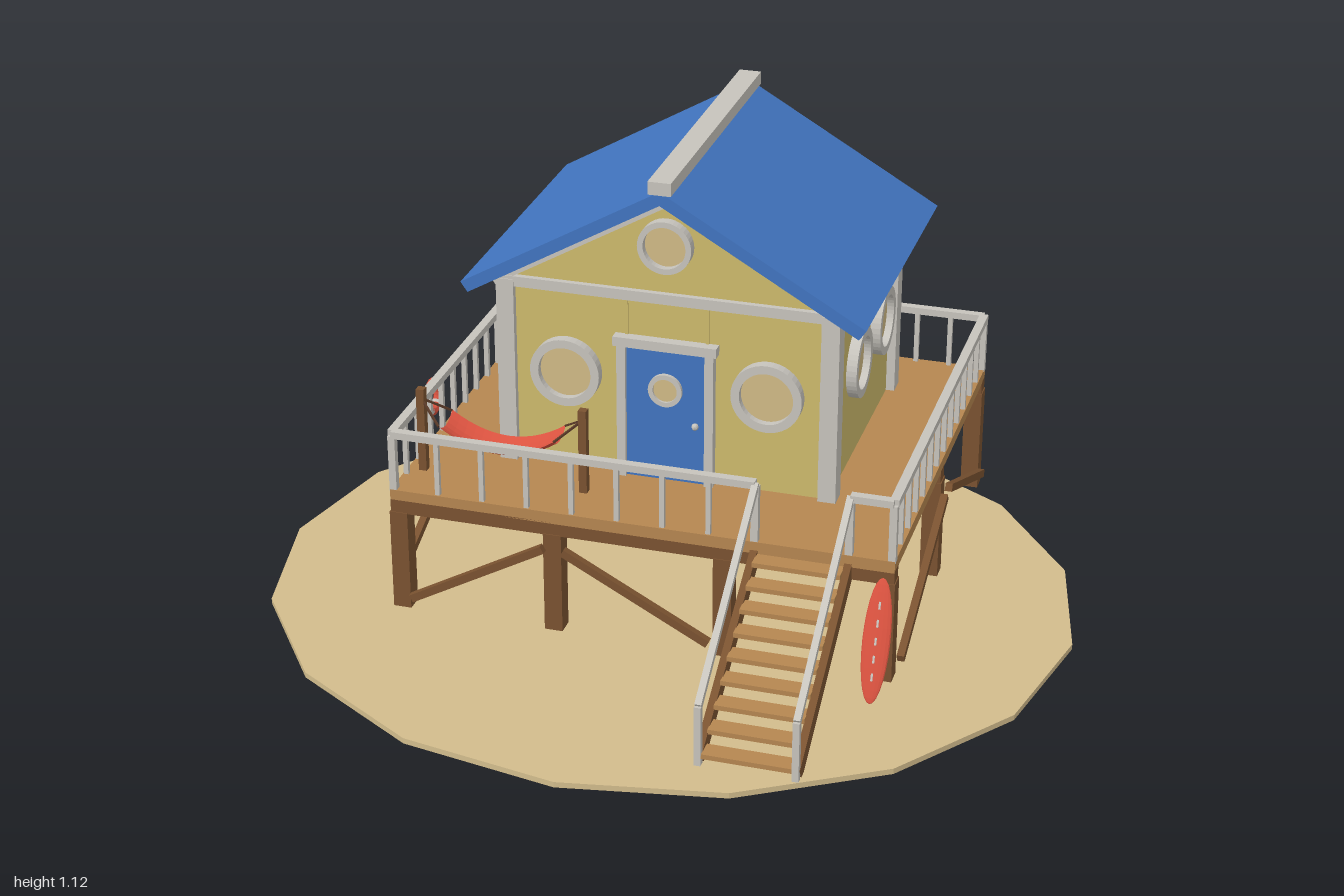
import * as THREE from 'three';

const mat = (name, color, extra = {}) => {
  const m = new THREE.MeshStandardMaterial({ color, flatShading: true, ...extra });
  m.name = name;
  return m;
};

export function createModel() {
  const root = new THREE.Group();
  root.name = 'beachHouse';
  const sand = mat('sand', 0xd2bc8c);
  const plank = mat('deck wood', 0xb58650);
  const timber = mat('dark timber', 0x7a5230);
  const wall = mat('yellow wall', 0xcdb96c);
  const trim = mat('pale trim', 0xc6c3bc);
  const blue = mat('blue paint', 0x4174bf);
  const glass = mat('window glass', 0xd0b985);
  const red = mat('red', 0xd9523f, { side: THREE.DoubleSide });
  const rope = mat('rope', 0x5a3a28);

  const add = (name, geo, m, x = 0, y = 0, z = 0, parent = root) => {
    const mesh = new THREE.Mesh(geo, m);
    mesh.name = name;
    mesh.position.set(x, y, z);
    parent.add(mesh);
    return mesh;
  };
  const box = (name, m, w, h, d, x, y, z, parent) =>
    add(name, new THREE.BoxGeometry(w, h, d), m, x, y, z, parent);
  // Square bar running between two points
  const bar = (name, m, a, b, w, h = w) => {
    const p = new THREE.Vector3(...a), q = new THREE.Vector3(...b);
    const mesh = box(name, m, w, h, p.distanceTo(q), (a[0] + b[0]) / 2, (a[1] + b[1]) / 2, (a[2] + b[2]) / 2);
    mesh.lookAt(q);
    return mesh;
  };

  // Sand island
  const island = new THREE.CylinderGeometry(1, 1, 0.014, 16);
  island.scale(1, 1, 0.91);
  add('sandIsland', island, sand, 0, 0.007, 0);

  // Stilts, beams and deck
  const postX = [-0.6, -0.21, 0.21, 0.6], postZ = [0.27, -0.25, -0.77];
  for (const z of postZ) {
    box('floorBeam', timber, 1.24, 0.035, 0.04, 0, 0.29, z);
    for (const x of postX) box('stilt', timber, 0.045, 0.275, 0.045, x, 0.1375, z);
  }
  box('deck', plank, 1.24, 0.03, 1.08, 0, 0.319, -0.25);

  // Diagonal braces on the outside of the stilts
  for (const z of [0.302, -0.803]) {
    bar('brace', timber, [-0.57, 0.05, z], [-0.23, 0.24, z], 0.018, 0.02);
    bar('brace', timber, [-0.18, 0.24, z], [0.18, 0.05, z], 0.018, 0.02);
    if (z < 0) bar('brace', timber, [0.23, 0.05, z], [0.57, 0.24, z], 0.018, 0.02);
  }
  for (const x of [-0.632, 0.632]) {
    bar('brace', timber, [x, 0.05, 0.24], [x, 0.24, -0.23], 0.018, 0.02);
    bar('brace', timber, [x, 0.24, -0.28], [x, 0.05, -0.74], 0.018, 0.02);
  }

  // Railings: a top rail with evenly spaced balusters
  const railing = (a, b, n) => {
    bar('topRail', trim, [a[0], 0.481, a[1]], [b[0], 0.481, b[1]], 0.022, 0.018);
    for (let i = 0; i <= n; i++) {
      const t = i / n, w = i === 0 || i === n ? 0.018 : 0.012;
      box('baluster', trim, w, 0.146, w, a[0] + (b[0] - a[0]) * t, 0.403, a[1] + (b[1] - a[1]) * t);
    }
  };
  railing([-0.612, 0.28], [0.285, 0.28], 8);
  railing([0.51, 0.28], [0.612, 0.28], 1);
  railing([-0.612, -0.78], [0.612, -0.78], 14);
  for (const x of [-0.612, 0.612]) railing([x, 0.28], [x, -0.78], 13);

  // Stairs with handrails
  for (const x of [0.285, 0.51]) {
    bar('stringer', timber, [x, 0.295, 0.28], [x, 0.022, 0.74], 0.018, 0.04);
    bar('handrail', trim, [x, 0.481, 0.28], [x, 0.165, 0.75], 0.016);
    box('stairPost', trim, 0.016, 0.155, 0.016, x, 0.088, 0.75);
  }
  for (let i = 0; i < 9; i++)
    box('tread', plank, 0.21, 0.012, 0.046, 0.3975, 0.298 - i * 0.0325, 0.312 + i * 0.0525);

  // House body with gables
  const body = new THREE.Shape();
  [[-0.4, 0.334], [0.4, 0.334], [0.4, 0.83], [0, 1.062], [-0.4, 0.83]]
    .forEach(([x, y], i) => (i ? body.lineTo(x, y) : body.moveTo(x, y)));
  add('walls', new THREE.ExtrudeGeometry(body, { depth: 0.655, bevelEnabled: false }), wall, 0, 0, -0.617);
  for (const x of [-0.4, 0.4]) for (const z of [0.03, -0.61])
    box('cornerBoard', trim, 0.044, 0.482, 0.05, x, 0.574, z);
  for (const z of [0.04, -0.62]) {
    box('gableBoard', trim, 0.84, 0.026, 0.025, 0, 0.81, z);
    for (const s of [-1, 1]) bar('rakeBoard', trim, [0, 1.052, z], [s * 0.43, 0.804, z], 0.02, 0.018);
  }
  for (const x of [-0.1, 0.1]) box('wallBatten', wall, 0.008, 0.1, 0.006, x, 0.747, 0.039);

  // Pitched roof with ridge cap
  const roof = new THREE.Shape();
  [[0, 1.1], [-0.494, 0.815], [-0.477, 0.79], [0, 1.066], [0.477, 0.79], [0.494, 0.815]]
    .forEach(([x, y], i) => (i ? roof.lineTo(x, y) : roof.moveTo(x, y)));
  add('roof', new THREE.ExtrudeGeometry(roof, { depth: 0.79, bevelEnabled: false }), blue, 0, 0, -0.69);
  box('ridgeCap', trim, 0.056, 0.032, 0.794, 0, 1.108, -0.295);

  // Round windows
  const porthole = (x, y, z, angle, rOut, rIn, depth = 0.026) => {
    const g = new THREE.Group();
    g.name = 'roundWindow';
    const ring = new THREE.Shape().absarc(0, 0, rOut, 0, Math.PI * 2);
    ring.holes.push(new THREE.Path().absarc(0, 0, rIn, 0, Math.PI * 2, true));
    add('windowFrame', new THREE.ExtrudeGeometry(ring, { depth, bevelEnabled: false, curveSegments: 20 }), trim, 0, 0, 0, g);
    add('windowPane', new THREE.CircleGeometry(rIn + 0.002, 20), glass, 0, 0, 0.008, g);
    g.position.set(x, y, z);
    g.rotation.y = angle;
    root.add(g);
  };
  for (const [z, a] of [[0.038, 0], [-0.617, Math.PI]]) {
    for (const x of [-0.25, 0.25]) porthole(x, 0.59, z, a, 0.087, 0.066);
    porthole(0, 0.945, z, a, 0.066, 0.052);
  }
  for (const s of [-1, 1]) for (const z of [-0.205, -0.46])
    porthole(s * 0.4, 0.588, z, s * Math.PI / 2, 0.087, 0.066);

  // Door
  box('door', blue, 0.2, 0.345, 0.016, 0, 0.506, 0.042);
  for (const x of [-0.109, 0.109]) box('doorJamb', trim, 0.022, 0.35, 0.03, x, 0.509, 0.046);
  box('doorLintel', trim, 0.256, 0.024, 0.034, 0, 0.692, 0.048);
  porthole(0, 0.575, 0.046, 0, 0.042, 0.03, 0.014);
  add('doorKnob', new THREE.SphereGeometry(0.009, 8, 6), trim, 0.075, 0.49, 0.058);

  // Hammock between two posts
  const cloth = new THREE.PlaneGeometry(0.29, 0.096, 14, 6).rotateX(-Math.PI / 2);
  const p = cloth.attributes.position;
  for (let i = 0; i < p.count; i++)
    p.setY(i, 0.41 + 0.05 * (p.getX(i) / 0.145) ** 2 + 0.02 * (p.getZ(i) / 0.048) ** 2);
  cloth.computeVertexNormals();
  add('hammock', cloth, red, -0.375, 0, 0.165);
  for (const s of [-1, 1]) {
    const x = -0.375 + s * 0.205;
    box('hammockPost', timber, 0.02, 0.22, 0.02, x, 0.442, 0.165);
    for (const e of [-1, 1])
      bar('hammockRope', rope, [x, 0.525, 0.165], [-0.375 + s * 0.145, 0.479, 0.165 + e * 0.046], 0.005);
  }

  // Lifebuoy on the side railing
  const buoy = new THREE.Group();
  buoy.name = 'lifebuoy';
  add('buoyRing', new THREE.TorusGeometry(0.038, 0.012, 8, 20), red, 0, 0, 0, buoy);
  for (let i = 0; i < 4; i++)
    add('buoyBand', new THREE.TorusGeometry(0.038, 0.0128, 8, 2, 0.3), trim, 0, 0, 0, buoy)
      .rotation.z = i * Math.PI / 2 + Math.PI / 4 - 0.15;
  buoy.position.set(-0.637, 0.42, -0.05);
  buoy.rotation.y = -Math.PI / 2;
  root.add(buoy);

  // Surfboard leaning on the deck
  const board = new THREE.Group();
  board.name = 'surfboard';
  add('boardBody', new THREE.SphereGeometry(1, 16, 14).scale(0.033, 0.148, 0.008), red, 0, 0, 0, board);
  for (let i = -2; i <= 2; i++)
    box('boardStripe', trim, 0.005, 0.018, 0.003, 0, i * 0.042, 0.008 * Math.sqrt(1 - (i * 0.042 / 0.148) ** 2), board);
  board.position.set(0.595, 0.153, 0.347);
  board.rotation.x = -0.37;
  root.add(board);

  return root;
}
